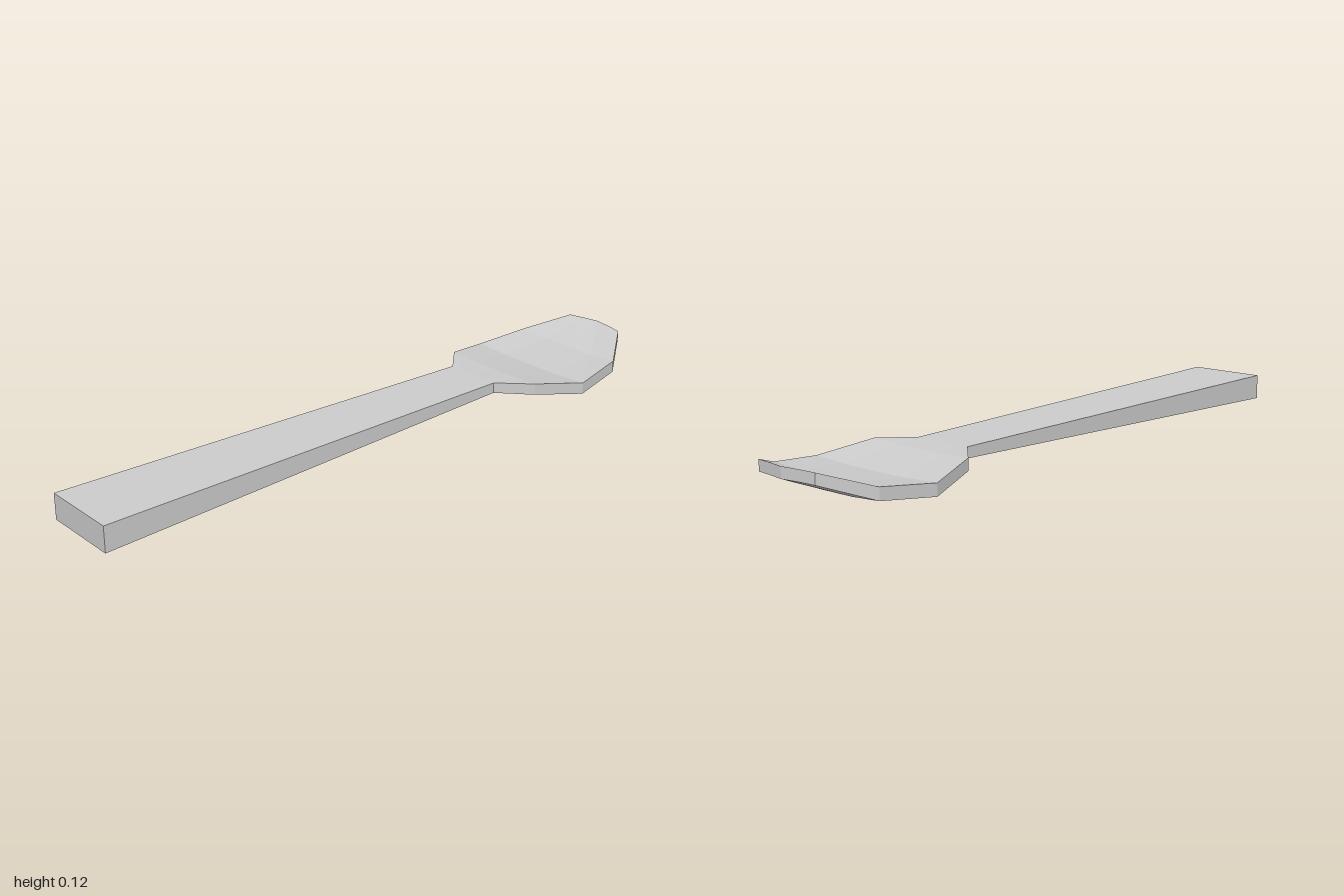
import * as THREE from 'three';

// Lofts rectangular cross-sections along z; each row is
// [z, half width, edge top, edge bottom, centre dip, centre advance in z]
function loft(rows) {
  const U = [-1, -0.5, 0, 0.5, 1];
  const DIP = [0, 0.9, 1, 0.9, 0];
  const n = U.length;
  const rings = rows.map(([z, w, top, bottom, dip = 0, bow = 0]) => {
    const at = (k, y) => [U[k] * w, y - dip * DIP[k], z - bow * (1 - Math.abs(U[k]))];
    const lower = U.map((_, k) => at(k, bottom));
    const upper = U.map((_, k) => at(k, top)).reverse();
    return [...lower, ...upper];
  });
  const pos = [];
  const quad = (a, b, c, d) => pos.push(...a, ...b, ...c, ...a, ...c, ...d);
  const m = 2 * n;
  // skin between neighbouring sections
  for (let i = 0; i < rings.length - 1; i++) {
    for (let j = 0; j < m; j++) {
      const k = (j + 1) % m;
      quad(rings[i][j], rings[i + 1][j], rings[i + 1][k], rings[i][k]);
    }
  }
  // end caps
  const first = rings[0], last = rings[rings.length - 1];
  for (let k = 0; k < n - 1; k++) {
    quad(first[k], first[k + 1], first[m - 2 - k], first[m - 1 - k]);
    quad(last[k + 1], last[k], last[m - 1 - k], last[m - 2 - k]);
  }
  const g = new THREE.BufferGeometry();
  g.setAttribute('position', new THREE.Float32BufferAttribute(pos, 3));
  g.computeVertexNormals();
  return g;
}

export function createModel() {
  const group = new THREE.Group();
  group.name = 'spoon';
  const material = new THREE.MeshStandardMaterial({ color: 0xcccccc, flatShading: true });

  // tapered handle flowing into the faceted, upturned bowl
  const body = new THREE.Mesh(loft([
    [1, 0.124, 0.079, 0],
    [-0.42, 0.093, 0.083, 0.05],
    [-0.51, 0.181, 0.083, 0.047, 0.004],
    [-0.68, 0.23, 0.057, 0.02, 0.007],
    [-0.855, 0.2, 0.077, 0.04, 0.007],
    [-0.982, 0.107, 0.123, 0.09, -0.002, 0.018],
  ]), material);
  body.name = 'handleAndBowl';
  group.add(body);
  return group;
}
